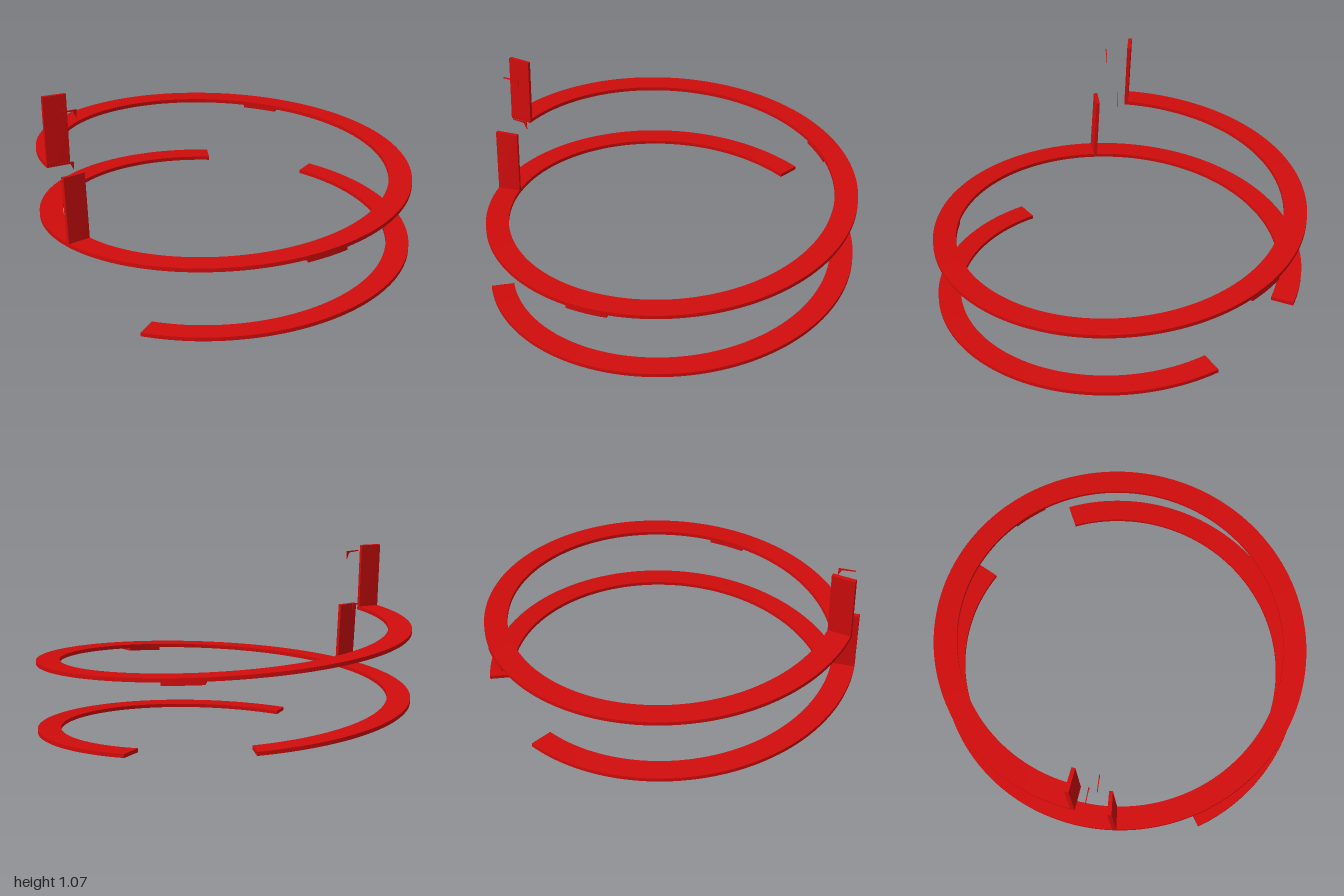
import * as THREE from 'three';

const INNER = 0.877, OUTER = 1, THICK = 0.02, PITCH = 0.37;
const TURN = Math.PI * 2;
const red = new THREE.MeshStandardMaterial({ color: 0xd00c0c });

// Height of the ramp's centre line; angle runs from +z towards +x.
const rampY = a => 0.0075 + PITCH * a / TURN;

// A block bent along the helix; lean turns its upper end by that angle.
function helixBlock(name, a0, a1, bottom, top, lean = 0) {
  const steps = Math.max(1, Math.ceil((a1 - a0) / 0.04));
  const geo = new THREE.BoxGeometry(1, 1, 1, 1, 1, steps);
  const p = geo.attributes.position;
  for (let i = 0; i < p.count; i++) {
    const r = THREE.MathUtils.lerp(INNER, OUTER, p.getX(i) + 0.5);
    const up = p.getY(i) + 0.5;
    const base = THREE.MathUtils.lerp(a1, a0, p.getZ(i) + 0.5);
    const a = base + lean * up;
    const y = rampY(base) + THREE.MathUtils.lerp(bottom, top, up);
    p.setXYZ(i, r * Math.sin(a), y, r * Math.cos(a));
  }
  geo.computeVertexNormals();
  const mesh = new THREE.Mesh(geo, red);
  mesh.name = name;
  return mesh;
}

// Thin hooked sliver standing in a radial plane.
function hook(name, a, y) {
  const shape = new THREE.Shape([
    [0.962, 0.005], [0.875, 0.003], [0.875, -0.042], [0.893, -0.005], [0.962, 0],
  ].map(([r, h]) => new THREE.Vector2(r, h)));
  const geo = new THREE.ExtrudeGeometry(shape, { depth: 0.004, bevelEnabled: false });
  geo.translate(0, 0, -0.002);
  const mesh = new THREE.Mesh(geo, red);
  mesh.name = name;
  mesh.rotation.y = a - Math.PI / 2;
  mesh.position.y = y;
  return mesh;
}

export function createModel() {
  const model = new THREE.Group();
  model.name = 'spiralRamp';
  const half = THICK / 2;

  // Two lengths of ramp with a gap at the back
  model.add(helixBlock('lowerRamp', 0.057, Math.PI - 0.057, -half, half));
  model.add(helixBlock('upperRamp', Math.PI + 0.593, 2 * TURN - 0.615, -half, half));

  // Leaning end posts
  model.add(helixBlock('lowerPost', TURN - 0.427, TURN - 0.405, -half, 0.357, -0.024));
  model.add(helixBlock('upperPost', 2 * TURN - 0.637, 2 * TURN - 0.615, -half, 0.358, -0.018));

  // Shallow pads under the ramp
  model.add(helixBlock('frontPad', TURN + 0.89, TURN + 1.115, -0.026, -half));
  model.add(helixBlock('backPad', TURN + Math.PI + 0.137, TURN + Math.PI + 0.352, -0.026, -half));

  // Small hooks between the posts
  model.add(hook('upperHook', -0.5, 1.021));
  model.add(hook('lowerHook', -0.568, 0.726));

  return model;
}
